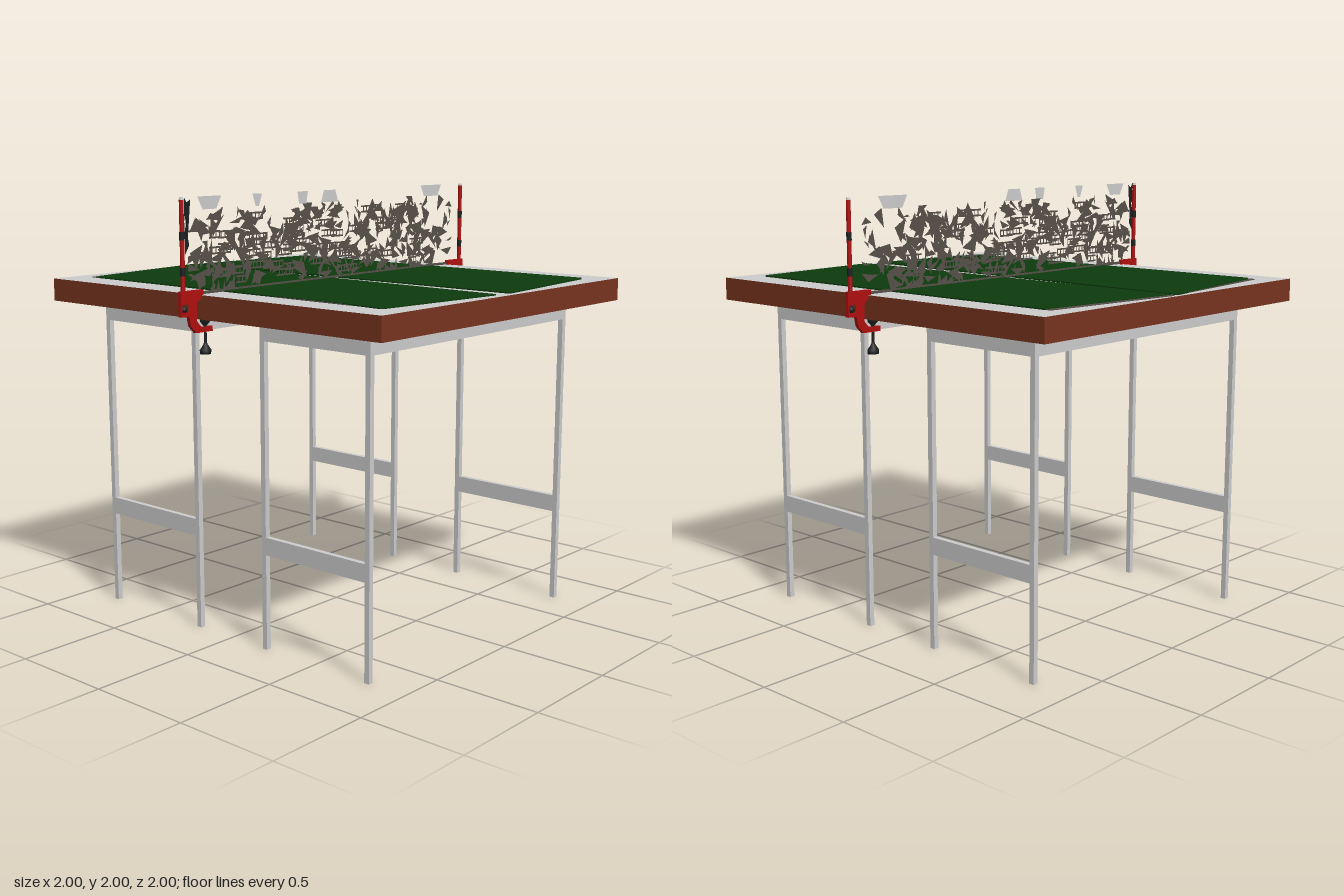
import * as THREE from 'three';

const mat = (name, color, side = THREE.FrontSide) => {
  const m = new THREE.MeshStandardMaterial({ color, side });
  m.name = name;
  return m;
};

export function createModel() {
  const model = new THREE.Group();
  model.name = 'tableTennisTable';
  const grey = mat('light grey', 0xcccccc);
  const tapeGrey = mat('tape grey', 0xcccccc, THREE.DoubleSide);
  const brown = mat('brown edge', 0x78341f);
  const green = mat('dark green', 0x0d3b0d);
  const red = mat('red', 0xb01010);
  const black = mat('black', 0x1c1f20, THREE.DoubleSide);
  const netMat = mat('net brown grey', 0x575049, THREE.DoubleSide);

  const add = (parent, name, geo, material, x = 0, y = 0, z = 0) => {
    const m = new THREE.Mesh(geo, material);
    m.name = name;
    m.position.set(x, y, z);
    parent.add(m);
    return m;
  };
  // box given by its lower and upper corners
  const box = (parent, name, material, a, b) =>
    add(parent, name, new THREE.BoxGeometry(b[0] - a[0], b[1] - a[1], b[2] - a[2]), material,
      (a[0] + b[0]) / 2, (a[1] + b[1]) / 2, (a[2] + b[2]) / 2);

  // table slab: brown rim, grey faces
  box(model, 'tabletop', [brown, brown, grey, grey, brown, brown], [-1, 1.48, -0.885], [1, 1.585, 0.885]);

  // thin painted plates on the slab, outlined in x and z
  const plate = (name, material, pts, h) => {
    const shape = new THREE.Shape(pts.map(([x, z]) => new THREE.Vector2(x, -z)));
    const geo = new THREE.ExtrudeGeometry(shape, { depth: h, bevelEnabled: false });
    add(model, name, geo.rotateX(-Math.PI / 2), material, 0, 1.585, 0);
  };
  plate('backCourt', green, [[-0.875, -0.735], [0.89, -0.735], [0.9, -0.72], [0.97, -0.02], [-0.965, -0.02]], 0.006);
  plate('frontCourt', green, [[-0.98, 0.01], [-0.95, 0], [0.96, 0.07], [0.885, 0.725], [0.87, 0.74],
    [0.7, 0.73], [0.5, 0.725], [0.3, 0.735], [-0.86, 0.735], [-0.885, 0.7]], 0.006);
  plate('backCourtEdge', netMat, [[-0.9, -0.73], [-0.86, -0.735], [-0.94, -0.025], [-0.985, -0.025]], 0.003);
  plate('frontCourtEdge', netMat, [[-0.975, 0.03], [-0.9, 0.1], [-0.85, 0.735], [-0.9, 0.735]], 0.003);
  plate('frontCourtLowerEdge', netMat, [[0.3, 0.7], [0.7, 0.7], [0.7, 0.737], [0.3, 0.737]], 0.003);

  // two leg frames
  const t = 0.025, X0 = 0.2, X1 = 0.815, Z = 0.728;
  for (const s of [1, -1]) {
    const frame = new THREE.Group();
    frame.name = s > 0 ? 'leftFrame' : 'rightFrame';
    model.add(frame);
    const xs = s > 0 ? [X0, X1 - t] : [-X1, -X0 - t];
    for (const x of xs) {
      box(frame, 'longApron', grey, [x, 1.39, -Z + t], [x + t, 1.48, Z - t]);
      for (const z of [-Z, Z - t]) box(frame, 'leg', grey, [x, 0, z], [x + t, 1.48, z + t]);
    }
    for (const z of [-Z, Z - t]) {
      box(frame, 'shortApron', grey, [xs[0] + t, 1.39, z], [xs[1], 1.48, z + t]);
      box(frame, 'stretcher', grey, [xs[0] + t, 0.44, z], [xs[1], 0.52, z + t]);
    }
  }

  // net clamps and posts, one at each end
  const outline = [[0.87, 1.608], [1, 1.608], [1, 1.5], [0.955, 1.5], [0.945, 1.455], [0.915, 1.425],
    [0.82, 1.425], [0.82, 1.447], [0.885, 1.447], [0.91, 1.475], [0.91, 1.55], [0.87, 1.587]];
  const clampShape = new THREE.Shape(outline.map(p => new THREE.Vector2(...p)));
  clampShape.holes.push(new THREE.Path([[0.958, 1.52], [0.958, 1.552], [0.992, 1.552], [0.992, 1.52]]
    .map(p => new THREE.Vector2(...p))));
  for (const s of [1, -1]) {
    const end = new THREE.Group();
    end.name = s > 0 ? 'frontClamp' : 'backClamp';
    end.rotation.y = s > 0 ? 0 : Math.PI;
    model.add(end);
    const geo = new THREE.ExtrudeGeometry(clampShape, { depth: 0.018, bevelEnabled: false });
    add(end, 'clamp', geo.translate(0, 0, -0.009).rotateY(-Math.PI / 2), red);
    add(end, 'post', new THREE.CylinderGeometry(0.01, 0.01, 0.4, 12), red, 0, 1.79, 0.979);
    for (const y of [1.69, 1.84]) {
      add(end, 'postBand', new THREE.CylinderGeometry(0.0115, 0.0115, 0.035, 12), black, 0, y, 0.979);
    }
    add(end, 'postCap', new THREE.CylinderGeometry(0.008, 0.01, 0.01, 12), grey, 0, 1.995, 0.979);
    add(end, 'postKnob', new THREE.SphereGeometry(0.015, 10, 8), black, 0, 1.53, 0.977);
    // clamping screw with pad and handle
    const screw = [[0, 1.325], [0.026, 1.328], [0.028, 1.345], [0.01, 1.37], [0.007, 1.38], [0.007, 1.45],
      [0.024, 1.468], [0.024, 1.48], [0, 1.48]].map(p => new THREE.Vector2(...p));
    add(end, 'screw', new THREE.LatheGeometry(screw, 12), black, 0, 0, 0.856).scale.x = 0.8;
  }

  // torn net: flat shards and broken mesh strips in the plane x = 0
  let seed = 17;
  const rnd = () => (seed = (seed * 16807) % 2147483647) / 2147483647;
  const flat = (name, material, tris, x = 0) => {
    const geo = new THREE.BufferGeometry();
    const pos = tris.flatMap(([z, y]) => [x, y, z]);
    geo.setAttribute('position', new THREE.Float32BufferAttribute(pos, 3));
    geo.computeVertexNormals();
    add(model, name, geo, material);
  };
  const quad = (z0, y0, z1, y1) => [[z0, y0], [z0, y1], [z1, y1], [z0, y0], [z1, y1], [z1, y0]];
  const clampY = y => Math.min(1.95, Math.max(1.595, y));
  const net = [...quad(-0.87, 1.587, 0.88, 1.6)];
  for (let i = 0; i < 330; i++) {
    const z = i < 310 ? -0.7 + 1.6 * rnd() : -0.92 + 0.25 * rnd();
    const y = 1.6 + 0.32 * rnd();
    const a = rnd() * Math.PI * 2, l = 0.04 + 0.08 * rnd(), w = 0.25 + 0.6 * rnd();
    const tip = (r, q) => [Math.max(-0.95, Math.min(0.95, z + r * Math.cos(q))), clampY(y + r * Math.sin(q))];
    // keep one winding so every shard has the same normal
    net.push([z, y], tip(l * 0.7, a + w), tip(l, a));
  }
  for (let i = 0; i < 45; i++) {
    const z = -0.68 + 1.45 * rnd(), y = 1.61 + 0.28 * rnd(), n = 3 + Math.floor(rnd() * 4);
    for (const dy of [0, 0.026]) net.push(...quad(z, y + dy, z + n * 0.022, y + dy + 0.008));
    for (let k = 0; k < n; k++) net.push(...quad(z + k * 0.022, y, z + k * 0.022 + 0.006, y + 0.03));
  }
  flat('net', netMat, net);

  // remains of the top tape and its dark end
  const tape = [];
  for (const [z0, z1, slant] of [[0.75, 0.89, 0.03], [0.2, 0.27, 0.01], [0.01, 0.09, -0.02], [-0.81, -0.64, 0.03], [0.5, 0.56, 0.02]]) {
    tape.push([z0, 2], [z0 + slant, 1.945], [z1, 2], [z0 + slant, 1.945], [z1 - slant, 1.945], [z1, 2]);
  }
  flat('netTape', tapeGrey, tape, 0.002);
  flat('netEnd', black, [[0.965, 2], [0.965, 1.9], [0.935, 1.95], [0.965, 1.9], [0.965, 1.76], [0.94, 1.8],
    [0.965, 1.97], [0.95, 1.8], [0.93, 1.99]], 0.002);
  return model;
}
